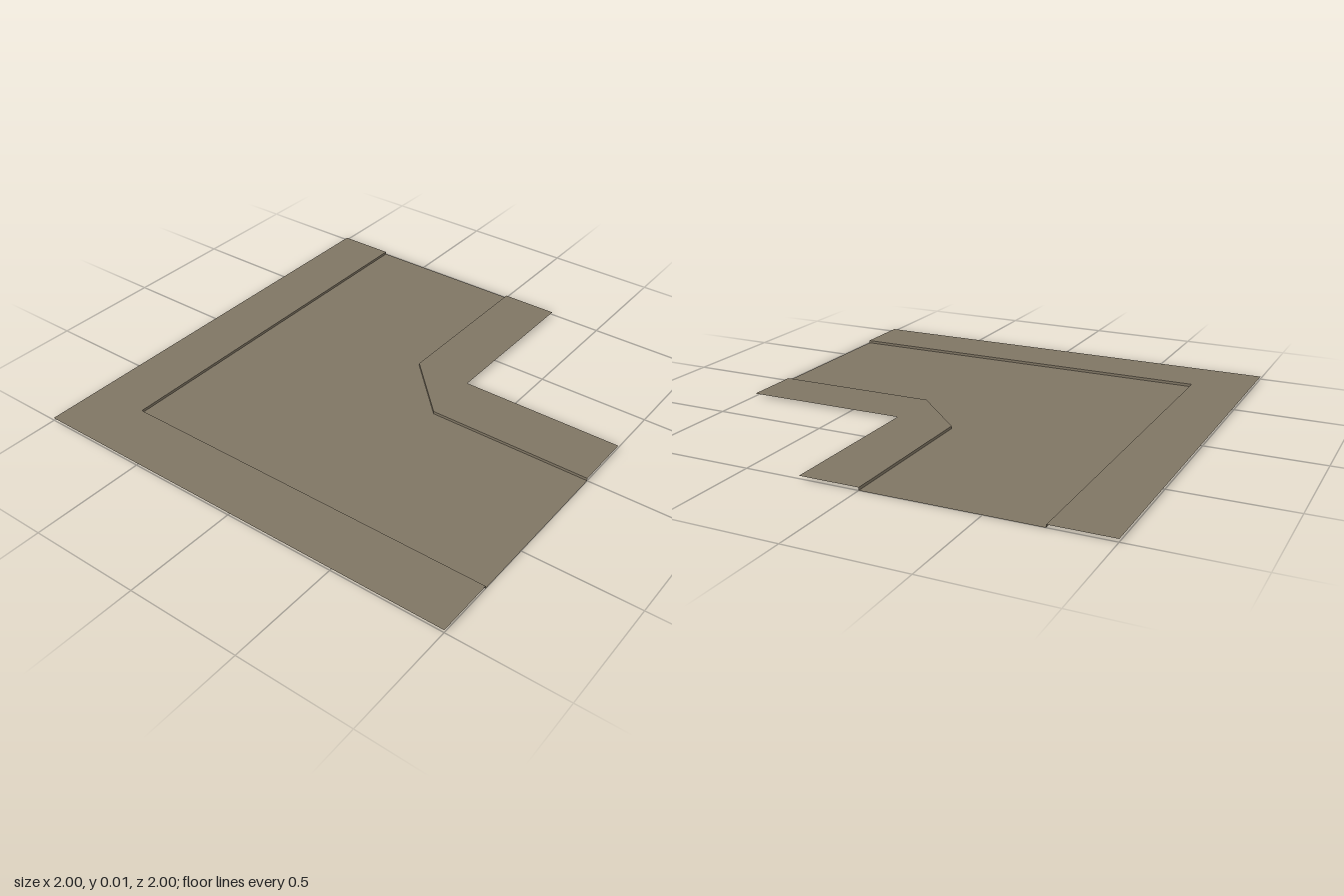
import * as THREE from 'three';

const CURB = 0.012; // height of the pavements above the road
const OUTER = [[-0.74, 1], [-0.74, -0.74], [1, -0.74]]; // curb lines as [x, z], road on the right-hand side
const INNER = [[1, 0], [0.26, 0], [0, 0.26], [0, 1]];

// Flat, upward-facing sheet from an [x, z] outline
function sheet(points, y) {
  const shape = new THREE.Shape(points.map(([x, z]) => new THREE.Vector2(x, -z)));
  return new THREE.ShapeGeometry(shape).rotateX(-Math.PI / 2).translate(0, y, 0);
}

// Upright strip following a curb line, facing the road
function curb(path) {
  const pos = [];
  for (let i = 0; i < path.length - 1; i++) {
    const [ax, az] = path[i], [bx, bz] = path[i + 1];
    pos.push(ax, 0, az, bx, 0, bz, bx, CURB, bz);
    pos.push(ax, 0, az, bx, CURB, bz, ax, CURB, az);
  }
  const g = new THREE.BufferGeometry();
  g.setAttribute('position', new THREE.Float32BufferAttribute(pos, 3));
  g.computeVertexNormals();
  return g;
}

export function createModel() {
  const group = new THREE.Group();
  group.name = 'roadCorner';
  const paving = new THREE.MeshStandardMaterial({ color: 0x7f7563, side: THREE.DoubleSide });
  paving.name = 'paving brown';

  const add = (name, geometry) => {
    const mesh = new THREE.Mesh(geometry, paving);
    mesh.name = name;
    group.add(mesh);
  };

  // Sunken road between the two curb lines
  add('road', sheet([...OUTER, ...INNER], 0));
  // Raised pavements on the outside and inside of the bend
  add('outerPavement', sheet([...OUTER, [1, -1], [-1, -1], [-1, 1]], CURB));
  add('innerPavement', sheet([...INNER, [0.26, 1], [0.26, 0.26], [1, 0.26]], CURB));
  // Curb faces
  add('outerCurb', curb(OUTER));
  add('innerCurb', curb(INNER));
  return group;
}
